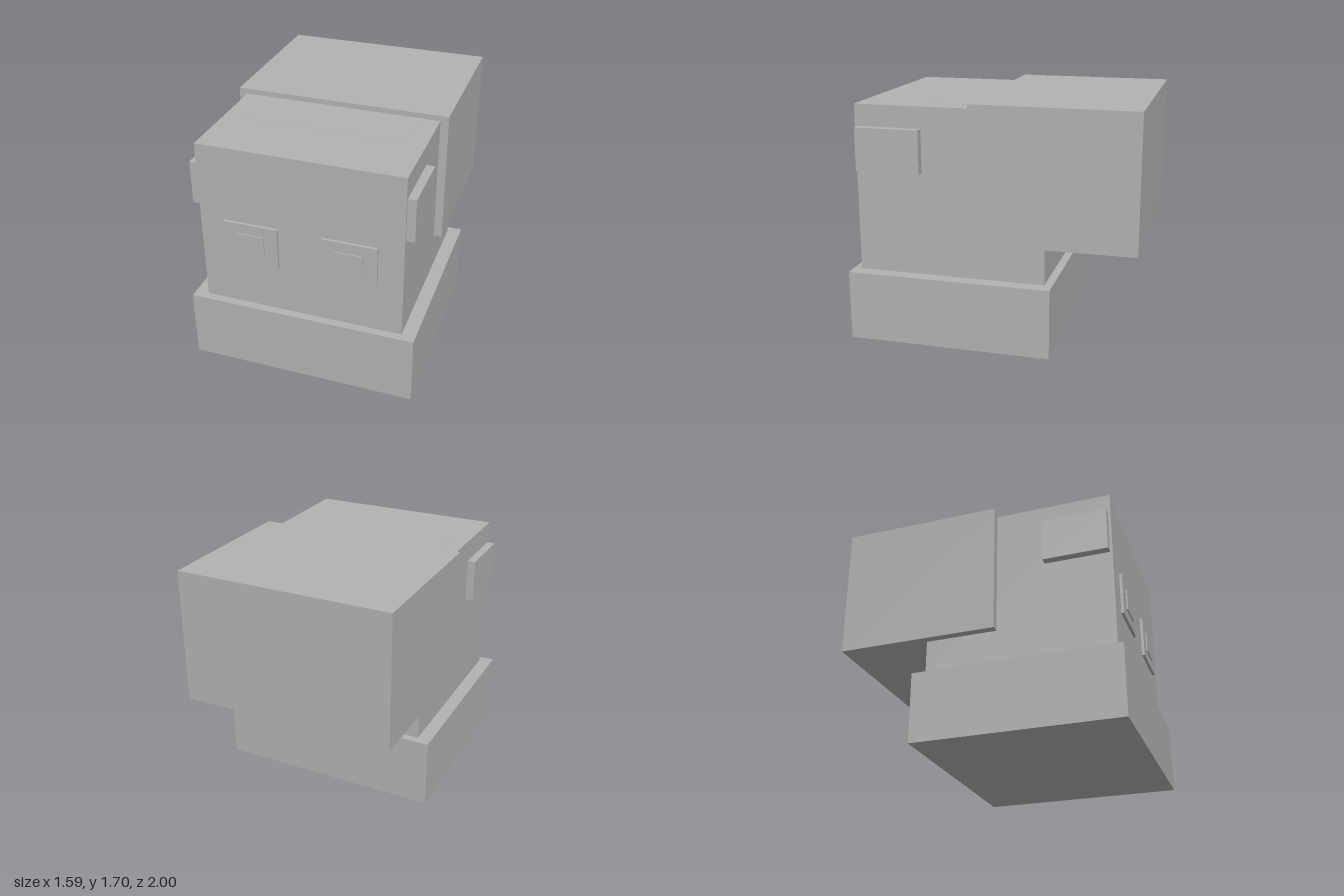
import * as THREE from 'three';

export function createModel() {
  const model = new THREE.Group();
  model.name = 'blockHead';
  const grey = new THREE.MeshStandardMaterial({ color: 0xb2b2b2 });
  grey.name = 'plain grey';

  // Box given by its limits on each axis
  function box(name, [x0, x1], [y0, y1], [z0, z1]) {
    const mesh = new THREE.Mesh(new THREE.BoxGeometry(x1 - x0, y1 - y0, z1 - z0), grey);
    mesh.position.set((x0 + x1) / 2, (y0 + y1) / 2, (z0 + z1) / 2);
    mesh.name = name;
    model.add(mesh);
  }

  // Main blocks
  box('base', [-0.793, 0.793], [0, 0.491], [-0.432, 1]);
  box('head', [-0.698, 0.698], [0.491, 1.662], [-0.376, 0.943]);
  box('backBlock', [-0.755, 0.755], [0.759, 1.7], [-1, 0.13]);

  // Almost flush panel on the crown, running under the back block
  box('crownPanel', [-0.565, 0.565], [1.656, 1.663], [0.1, 0.505]);

  // Mirrored side plates and eyes
  for (const [side, s] of [['left', 1], ['right', -1]]) {
    const span = (a, b) => (s > 0 ? [a, b] : [-b, -a]);
    box(side + 'SidePlate', span(0.698, 0.755), [1.21, 1.511], [0.474, 0.925]);
    box(side + 'Eye', span(0.15, 0.528), [0.834, 1.132], [0.943, 0.962]);
    box(side + 'Pupil', span(0.243, 0.433), [0.908, 1.058], [0.962, 0.971]);
  }
  return model;
}
